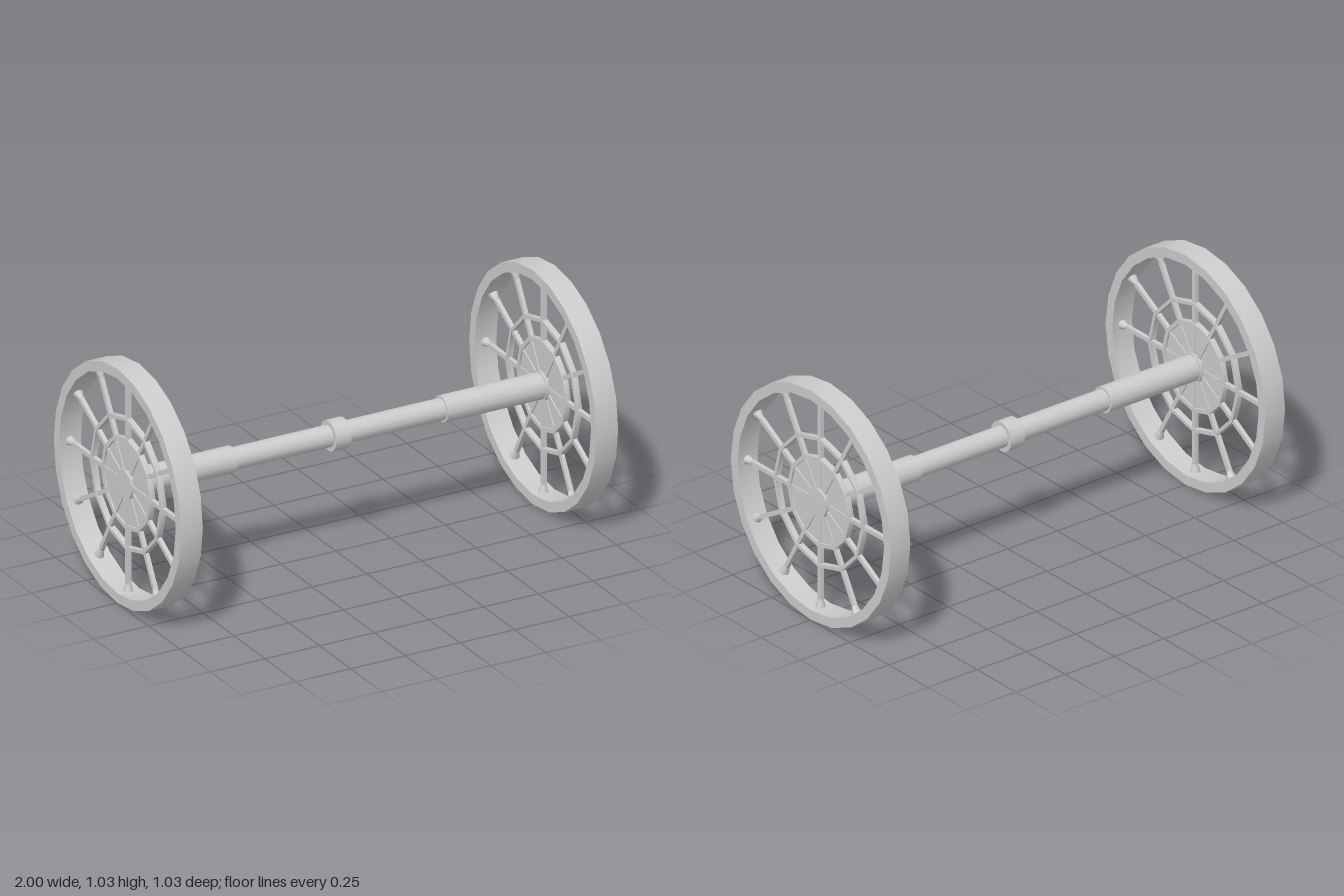
import * as THREE from 'three';
import { toCreasedNormals } from 'three/addons/utils/BufferGeometryUtils.js';

const CENTER_Y = 0.513, WHEEL_X = 0.95, RIM_R = 0.513, RIM_INNER = 0.47;
const material = new THREE.MeshStandardMaterial({ color: 0xcccccc });

function add(parent, name, geometry) {
  const mesh = new THREE.Mesh(geometry, material);
  mesh.name = name;
  parent.add(mesh);
  return mesh;
}

// Rectangular-section ring around the x axis
function ring(outer, inner, width, sides) {
  const h = width / 2;
  const profile = [[outer, -h], [outer, h], [inner, h], [inner, -h], [outer, -h]]
    .map(([r, y]) => new THREE.Vector2(r, y));
  const geometry = new THREE.LatheGeometry(profile, sides).rotateZ(Math.PI / 2);
  return toCreasedNormals(geometry, Math.PI / 5);
}

// Solid cylinder along x, from x0 to x1
function rod(radius, x0, x1, sides) {
  return new THREE.CylinderGeometry(radius, radius, x1 - x0, sides)
    .rotateZ(-Math.PI / 2).translate((x0 + x1) / 2, 0, 0);
}

// One wheel, outer face towards +x
function createWheel() {
  const wheel = new THREE.Group();
  add(wheel, 'rim', ring(RIM_R, RIM_INNER, 0.1, 24));
  add(wheel, 'middleRing', ring(0.29, 0.275, 0.025, 12));
  add(wheel, 'innerRing', ring(0.2, 0.182, 0.025, 12));
  add(wheel, 'hubPlate', rod(0.19, -0.004, 0.004, 12));
  add(wheel, 'hubCap', rod(0.064, -0.02, 0.02, 8));

  // Spokes with flared feet where they meet the rim
  const spokeGeometry = new THREE.BoxGeometry(0.018, RIM_INNER, 0.018).translate(0, RIM_INNER / 2, 0);
  const footGeometry = new THREE.CylinderGeometry(0.022, 0.011, 0.036, 8).translate(0, RIM_INNER - 0.018, 0);
  for (let i = 0; i < 12; i++) {
    const angle = i * Math.PI / 6;
    add(wheel, 'spoke', spokeGeometry).rotation.x = angle;
    add(wheel, 'spokeFoot', footGeometry).rotation.x = angle;
  }
  return wheel;
}

export function createModel() {
  const model = new THREE.Group();
  model.name = 'wheelsAndAxle';

  const axle = new THREE.Group();
  axle.name = 'axle';
  axle.position.y = CENTER_Y;
  model.add(axle);
  add(axle, 'axleShaft', rod(0.046, -0.5, 0.5, 16));
  add(axle, 'centerCollar', rod(0.065, -0.035, 0.035, 16));
  add(axle, 'leftSleeve', rod(0.056, 0.48, WHEEL_X, 16));
  add(axle, 'rightSleeve', rod(0.056, -WHEEL_X, -0.48, 16));

  for (const side of [1, -1]) {
    const wheel = createWheel();
    wheel.name = side > 0 ? 'leftWheel' : 'rightWheel';
    wheel.position.set(side * WHEEL_X, CENTER_Y, 0);
    wheel.rotation.y = side > 0 ? 0 : Math.PI;
    model.add(wheel);
  }
  return model;
}
